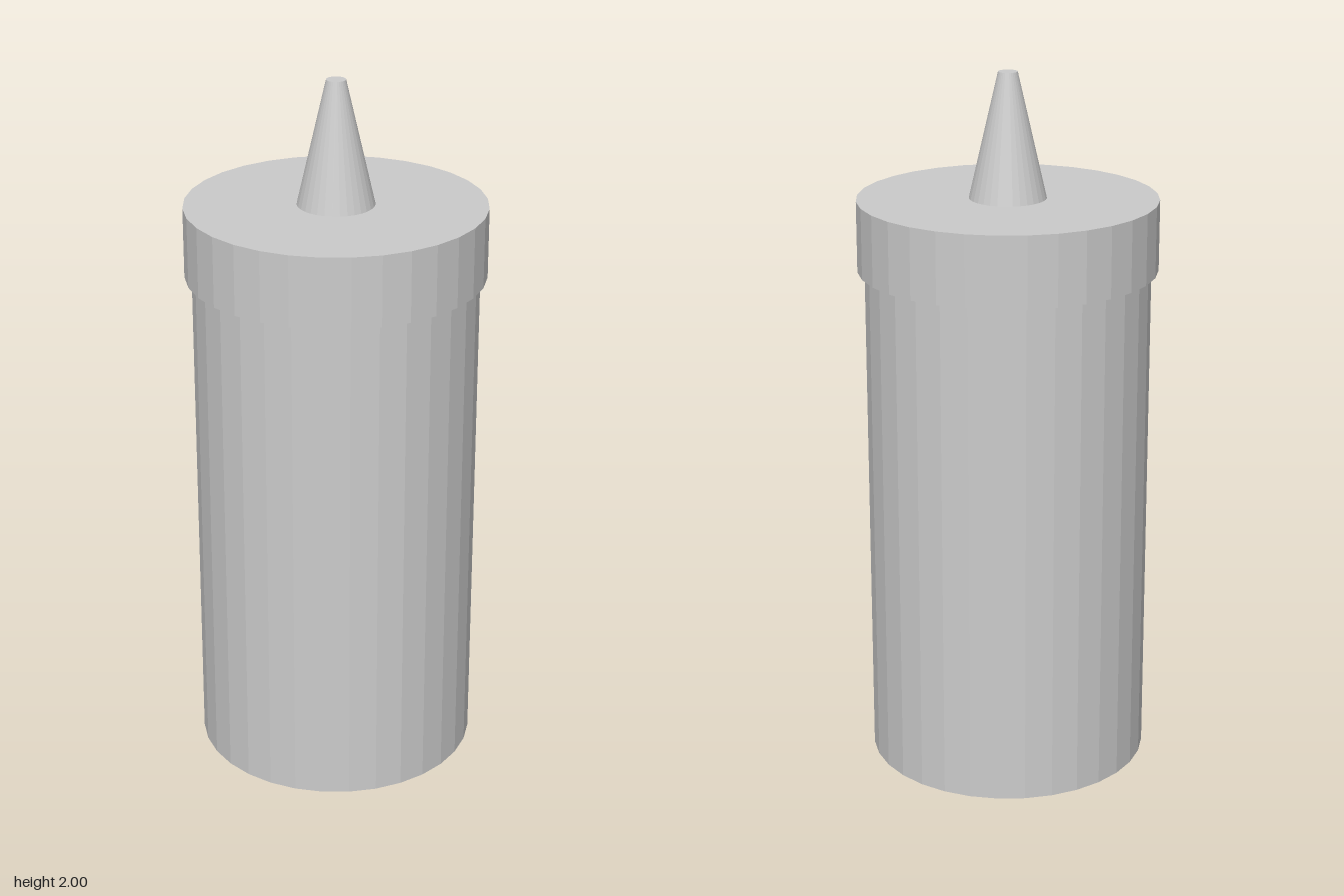
import * as THREE from 'three';

const SIDES = 32;

export function createModel() {
  const model = new THREE.Group();
  const material = new THREE.MeshStandardMaterial({ color: 0xcccccc, flatShading: true });

  // Upright round part spanning bottom to top
  function addRound(name, radiusBottom, radiusTop, bottom, top) {
    const height = top - bottom;
    const geometry = new THREE.CylinderGeometry(radiusTop, radiusBottom, height, SIDES);
    const mesh = new THREE.Mesh(geometry, material);
    mesh.name = name;
    mesh.position.y = bottom + height / 2;
    model.add(mesh);
  }

  addRound('bottleBody', 0.4, 0.4, 0, 1.45);
  addRound('cap', 0.42, 0.42, 1.45, 1.65);
  addRound('nozzle', 0.108, 0.027, 1.65, 2);

  return model;
}
